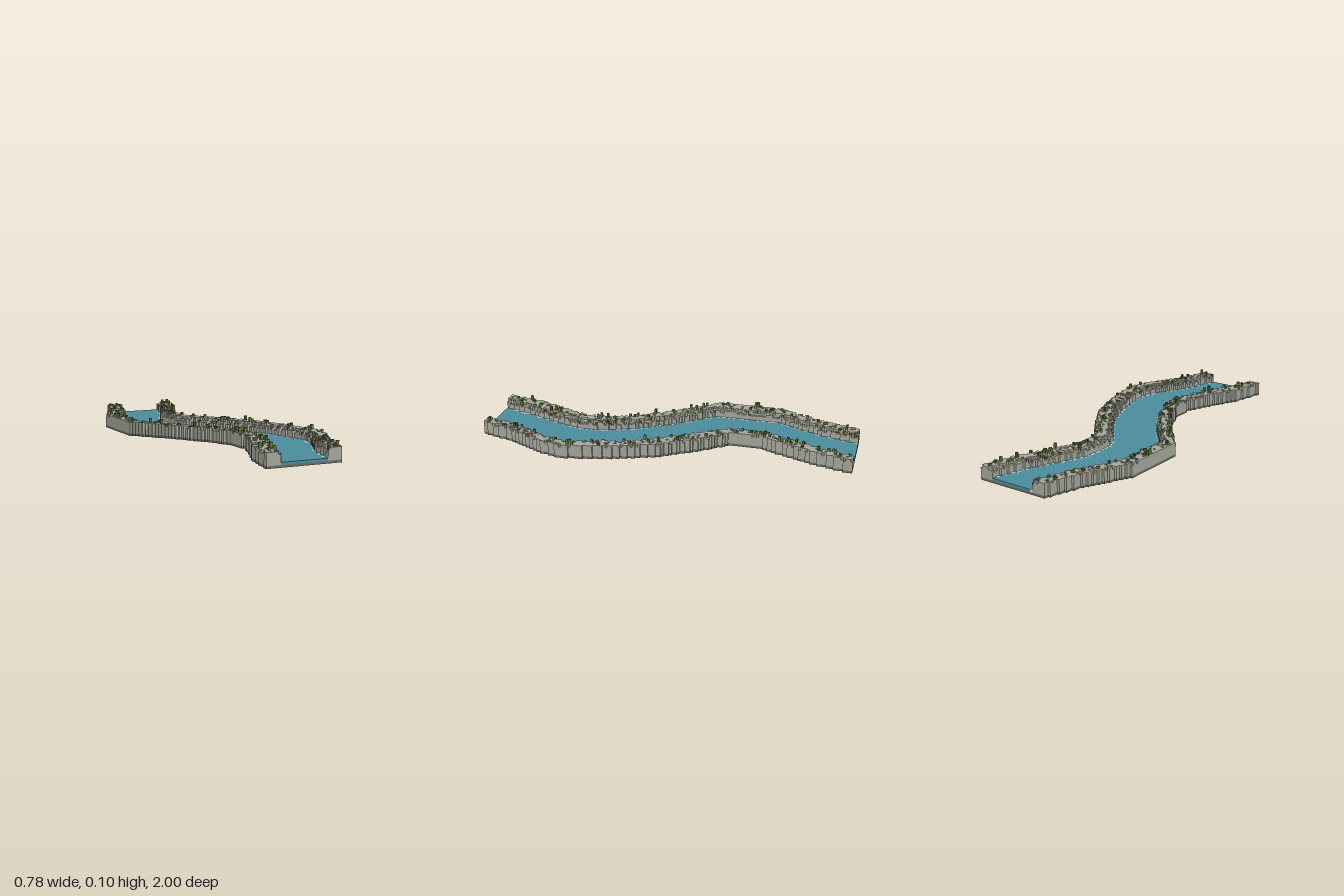
import * as THREE from 'three';
import { mergeGeometries } from 'three/addons/utils/BufferGeometryUtils.js';

const V = 0.0125; // block size
const ROWS = 160;

// Shore lines as [z, x] points
const LEFT_OUTER = [[-1, -0.21], [-0.8, -0.27], [-0.55, -0.387], [-0.2, -0.387], [0, -0.23], [0.2, -0.1],
  [0.35, -0.035], [0.48, -0.03], [0.6, -0.075], [0.8, -0.16], [1, -0.2]];
const LEFT_INNER = [[-1, -0.13], [-0.8, -0.18], [-0.55, -0.3], [-0.2, -0.3], [-0.1, -0.23], [0, -0.145], [0.2, -0.02],
  [0.35, 0.037], [0.47, 0.055], [0.6, 0.02], [0.8, -0.055], [1, -0.125]];
const RIGHT_INNER = [[-1, 0.12], [-0.8, 0.06], [-0.6, -0.025], [-0.5, -0.065], [-0.34, -0.065], [-0.25, -0.03],
  [-0.1, 0.085], [0, 0.15], [0.2, 0.245], [0.4, 0.295], [0.5, 0.31], [0.6, 0.28], [0.8, 0.18], [1, 0.125]];
const RIGHT_OUTER = [[-1, 0.195], [-0.8, 0.14], [-0.6, 0.06], [-0.5, 0.01], [-0.34, 0.007], [-0.2, 0.12],
  [0, 0.25], [0.2, 0.325], [0.4, 0.375], [0.5, 0.387], [0.6, 0.36], [0.8, 0.26], [1, 0.2]];

// Shore position in whole blocks at a given z
function shore(points, z) {
  let i = 0;
  while (i < points.length - 2 && z > points[i + 1][0]) i++;
  const [z0, x0] = points[i], [z1, x1] = points[i + 1];
  return Math.round(THREE.MathUtils.lerp(x0, x1, (z - z0) / (z1 - z0)) / V);
}

function seeded(seed) {
  return () => {
    seed = (seed * 1664525 + 1013904223) % 4294967296;
    return seed / 4294967296;
  };
}

export function createModel() {
  const group = new THREE.Group();
  const rand = seeded(17);
  const parts = { riverBed: [], water: [], foam: [], banks: [], plants: [], darkPlants: [], brownStones: [] };
  const colors = {
    riverBed: 0x6a6b64, water: 0x4a8c9c, foam: 0xd5e0e0, banks: 0xa3a699,
    plants: 0x66823c, darkPlants: 0x4b6130, brownStones: 0x87594a,
  };

  // Box from block x0 to x1 and y0 to y1 in one row
  function block(part, x0, x1, y0, y1, row) {
    const g = new THREE.BoxGeometry((x1 - x0) * V, (y1 - y0) * V, V);
    g.translate((x0 + x1) / 2 * V, (y0 + y1) / 2 * V, -1 + (row + 0.5) * V);
    parts[part].push(g);
  }

  // One column of the bank, d blocks away from the water
  function bankColumn(x, d, row) {
    const r = rand();
    const top = d === 0 ? (r < 0.5 ? 4 : 5) : d === 1 ? (r < 0.5 ? 5 : 6) : (r < 0.18 ? 5 : 6);
    block('banks', x, x + 1, 1, top, row);
    const p = rand();
    if (p < 0.065) {
      block(rand() < 0.65 ? 'plants' : 'darkPlants', x, x + 1, top, top + (rand() < 0.3 ? 2 : 1), row);
    } else if (p < 0.14 && top < 6) {
      block('brownStones', x, x + 1, top, top + 1, row);
    } else if (p > 0.98) {
      // brown stone set flush in the ground
      block('brownStones', x, x + 1, top, top + 0.1, row);
    }
  }

  for (let row = 0; row < ROWS; row++) {
    const z = -1 + (row + 0.5) * V;
    const [lo, li, ri, ro] = [LEFT_OUTER, LEFT_INNER, RIGHT_INNER, RIGHT_OUTER].map((s) => shore(s, z));
    block('riverBed', lo, ro, 0, 1, row);

    // Water with broken foam along both shores
    const foamL = rand() < 0.5 ? 1 : 0, foamR = rand() < 0.5 ? 1 : 0;
    if (foamL) block('foam', li, li + 1, 1, 2, row);
    if (foamR) block('foam', ri - 1, ri, 1, 2, row);
    block('water', li + foamL, ri - foamR, 1, 2, row);

    // Stone banks
    for (let x = lo; x < li; x++) bankColumn(x, li - 1 - x, row);
    for (let x = ri; x < ro; x++) bankColumn(x, x - ri, row);
  }

  for (const [name, list] of Object.entries(parts)) {
    const material = new THREE.MeshStandardMaterial({ color: colors[name] });
    material.name = name;
    const mesh = new THREE.Mesh(mergeGeometries(list), material);
    mesh.name = name;
    group.add(mesh);
  }
  return group;
}
